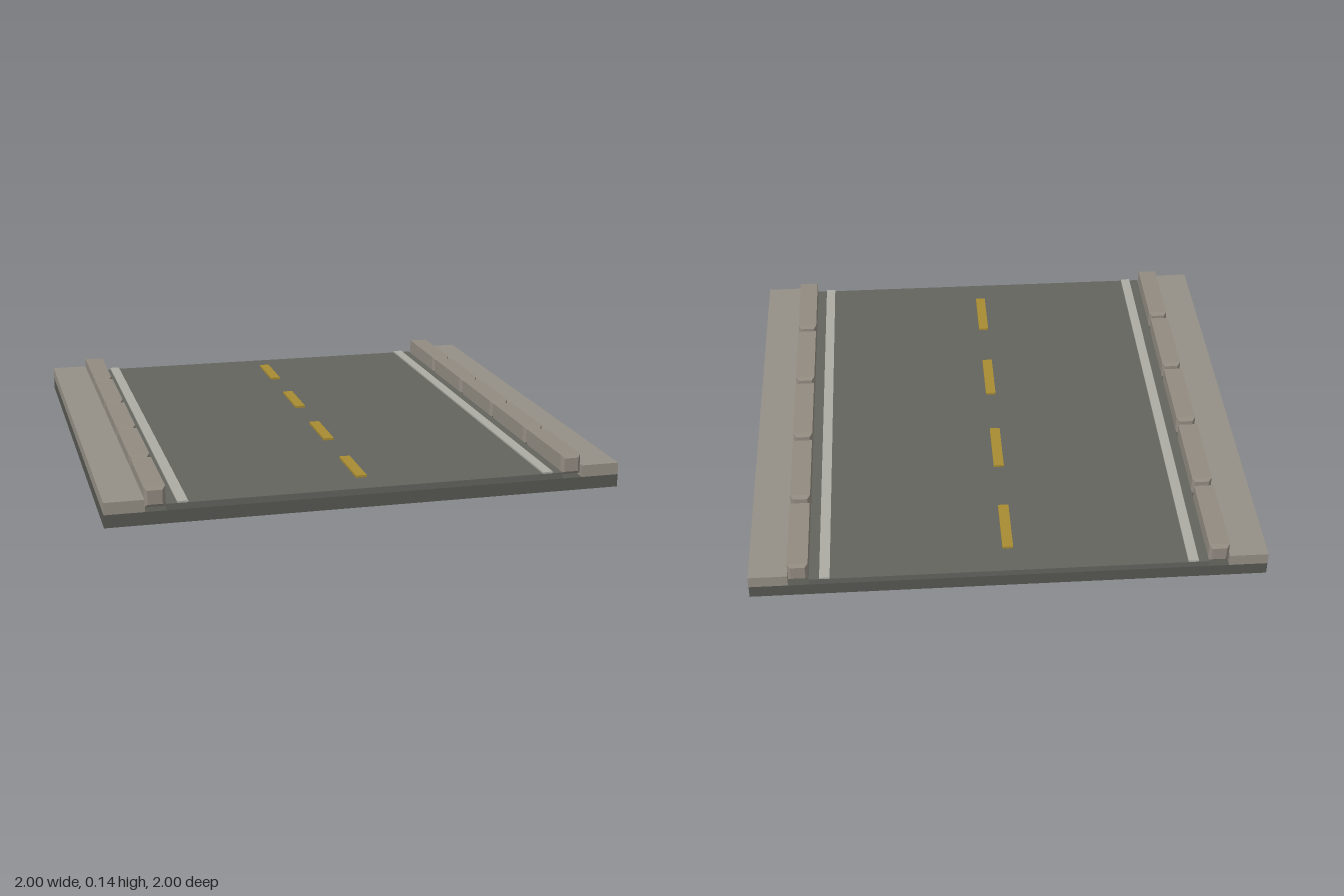
import * as THREE from 'three';

const mat = (color) => new THREE.MeshStandardMaterial({ color, flatShading: true });

export function createModel() {
  const group = new THREE.Group();
  const asphalt = mat(0x63645e);
  const foundation = mat(0x575852);
  const concrete = mat(0x959086);
  const stone = mat(0x928b81);
  const white = mat(0xacaca4);
  const yellow = mat(0xa88c32);

  // Box given by its width, length and vertical range
  const slab = (name, w, l, y0, y1, x, z, material) => {
    const mesh = new THREE.Mesh(new THREE.BoxGeometry(w, y1 - y0, l), material);
    mesh.position.set(x, (y0 + y1) / 2, z);
    mesh.name = name;
    group.add(mesh);
  };

  // Foundation and carriageway
  slab('foundation', 2, 2, 0, 0.05, 0, 0, foundation);
  slab('roadSurface', 1.54, 2, 0.05, 0.075, 0, 0, asphalt);

  // Dashed centre line
  for (const z of [-0.75, -0.25, 0.25, 0.75]) {
    slab('centreDash', 0.042, 0.25, 0.075, 0.084, 0, z, yellow);
  }

  // Kerb stone: chamfered on every edge
  const c = 0.012, hw = 0.04 - c, hh = 0.039 - c, length = 0.375;
  const profile = new THREE.Shape([
    new THREE.Vector2(-hw, -hh), new THREE.Vector2(hw, -hh),
    new THREE.Vector2(hw, hh), new THREE.Vector2(-hw, hh),
  ]);
  const kerbGeometry = new THREE.ExtrudeGeometry(profile, {
    depth: length - 2 * c, bevelEnabled: true, bevelSegments: 1,
    bevelSize: c, bevelThickness: c,
  });
  kerbGeometry.translate(0, 0, -(length - 2 * c) / 2);

  // Each side: edge line, row of kerb stones, raised pavement
  for (const [side, label] of [[1, 'left'], [-1, 'right']]) {
    slab(label + 'EdgeLine', 0.04, 2, 0.075, 0.082, side * 0.71, 0, white);
    slab(label + 'Pavement', 0.15, 2, 0.05, 0.097, side * 0.925, 0, concrete);
    for (let i = -2; i <= 2; i++) {
      const kerb = new THREE.Mesh(kerbGeometry, stone);
      kerb.position.set(side * 0.81, 0.099, i * 0.4);
      kerb.name = label + 'KerbStone';
      group.add(kerb);
    }
  }
  return group;
}
